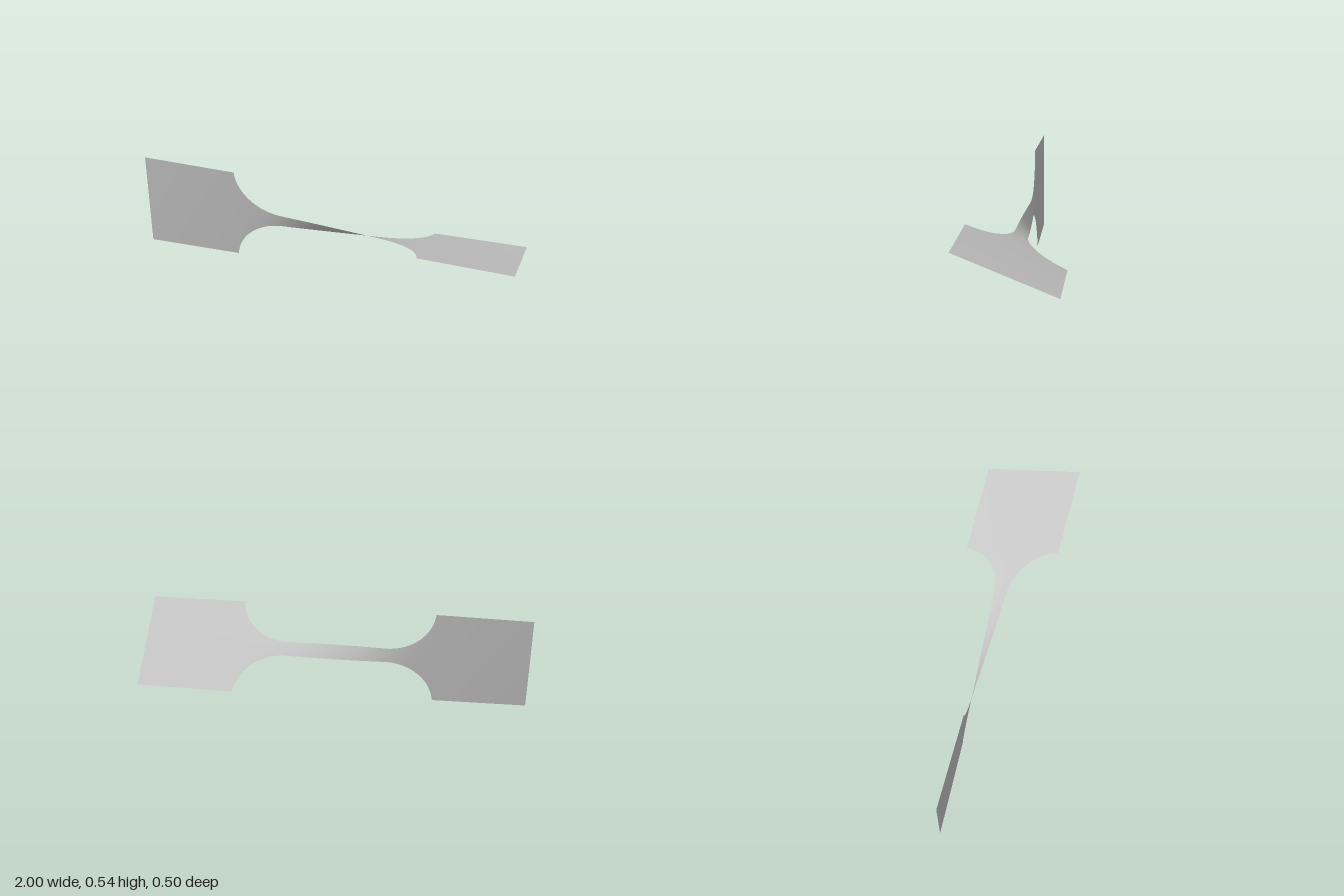
import * as THREE from 'three';

const HALF_WIDTH = 0.271;   // half width of the wide grips
const NECK_HALF = 0.0385;   // half width of the narrow neck
const NECK_END = 0.255;     // where the fillets begin
const GRIP_START = 0.511;   // where the fillets meet the grips
const FILLET = 0.257;       // fillet radius
const TOTAL_TWIST = THREE.MathUtils.degToRad(68.2);

// Half width of the strip at x: neck, round fillet, grip
function halfWidth(x) {
  const u = Math.abs(x) - NECK_END;
  if (u <= 0) return NECK_HALF;
  if (Math.abs(x) > GRIP_START) return HALF_WIDTH;
  return Math.min(HALF_WIDTH, NECK_HALF + FILLET - Math.sqrt(FILLET * FILLET - u * u));
}

// Twist angle along x: the narrower the strip, the faster it turns
const STEPS = 1000;
const twistTable = [0];
for (let i = 0; i < STEPS; i++) {
  const x = -1 + (2 * (i + 0.5)) / STEPS;
  twistTable.push(twistTable[i] + Math.pow(halfWidth(x), -1.65));
}
function twistAt(x) {
  const s = ((x + 1) / 2) * STEPS;
  const i = Math.min(STEPS - 1, Math.max(0, Math.floor(s)));
  const value = THREE.MathUtils.lerp(twistTable[i], twistTable[i + 1], s - i);
  return (value / twistTable[STEPS]) * TOTAL_TWIST;
}

// A thin twisted sheet between two x positions
function sheet(name, x0, x1, columns, material) {
  const geometry = new THREE.PlaneGeometry(1, 2, columns, 12);
  const p = geometry.attributes.position;
  for (let i = 0; i < p.count; i++) {
    const x = THREE.MathUtils.lerp(x0, x1, p.getX(i) + 0.5);
    const r = p.getY(i) * halfWidth(x);
    const a = twistAt(x);
    p.setXYZ(i, x, HALF_WIDTH + r * Math.cos(a), r * Math.sin(a));
  }
  geometry.computeVertexNormals();
  const mesh = new THREE.Mesh(geometry, material);
  mesh.name = name;
  return mesh;
}

export function createModel() {
  const group = new THREE.Group();
  group.name = 'twistedStrip';
  const grey = new THREE.MeshStandardMaterial({ color: 0xc8c8c8, side: THREE.DoubleSide });
  grey.name = 'lightGrey';

  group.add(
    sheet('rightGrip', -1, -GRIP_START, 12, grey),
    sheet('twistedNeck', -GRIP_START, GRIP_START, 120, grey),
    sheet('leftGrip', GRIP_START, 1, 12, grey),
  );
  return group;
}
